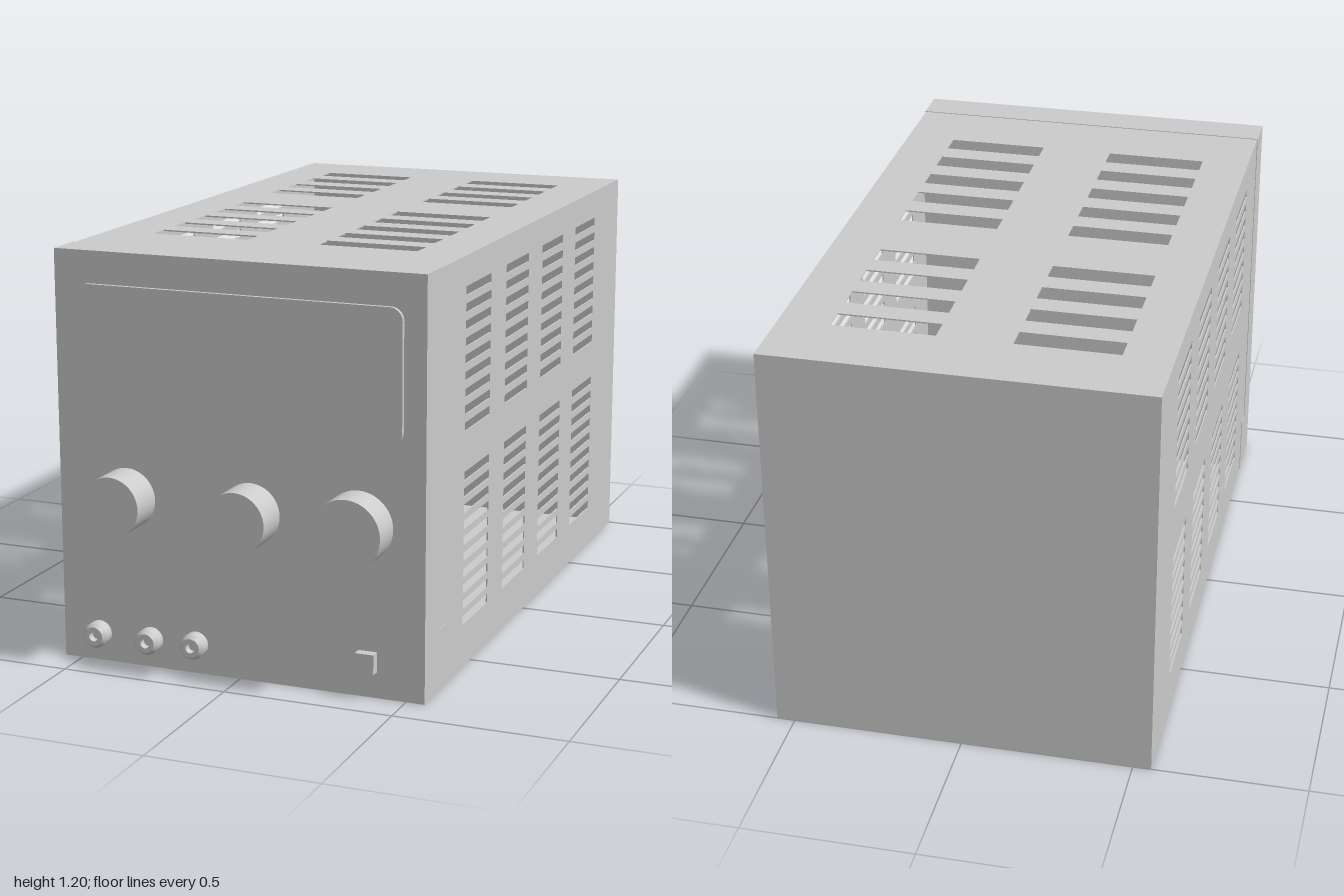
import * as THREE from 'three';

const W = 1.11, H = 1.2, BACK = -1, FRONT = 0.89, T = 0.004;

export function createModel() {
  const group = new THREE.Group();
  const mat = new THREE.MeshStandardMaterial({ color: 0xcccccc, side: THREE.DoubleSide });

  const add = (name, geo, x = 0, y = 0, z = 0) => {
    const m = new THREE.Mesh(geo, mat);
    m.name = name;
    m.position.set(x, y, z);
    group.add(m);
    return m;
  };
  const rect = (cls, x0, y0, x1, y1) => new cls([
    new THREE.Vector2(x0, y0), new THREE.Vector2(x1, y0),
    new THREE.Vector2(x1, y1), new THREE.Vector2(x0, y1)]);
  const extrude = (shape, depth) =>
    new THREE.ExtrudeGeometry(shape, { depth, bevelEnabled: false, curveSegments: 8 });

  // Side covers with louvre slots (drawn in z, y)
  const columns = [[-0.72, -0.5], [-0.362, -0.145], [-0.008, 0.208], [0.348, 0.568]];
  const sidePanel = (lowerRows) => {
    const shape = rect(THREE.Shape, BACK, 0, 0.775, H - 0.002);
    const rows = [];
    for (let i = 0; i < lowerRows; i++) rows.push(0.14 + i * 0.0474);
    for (let i = 0; i < 9; i++) rows.push(0.71 + i * 0.0485);
    for (const [z0, z1] of columns)
      for (const y of rows) shape.holes.push(rect(THREE.Path, z0, y - 0.013, z1, y + 0.013));
    return extrude(shape, T).rotateY(-Math.PI / 2);
  };
  const half = W / 2 - 0.002;
  add('leftSideCover', sidePanel(10), half);
  add('rightSideCover', sidePanel(9), -half + T);

  // Top cover with two columns of vents (drawn in x, z)
  const top = rect(THREE.Shape, -half, BACK, half, 0.775);
  for (let i = 0; i < 10; i++) {
    if (i === 4) continue;
    const z = -0.755 + i * 0.142;
    for (const x of [-0.26, 0.255])
      top.holes.push(rect(THREE.Path, x - 0.15, z - 0.036, x + 0.15, z + 0.036));
  }
  add('topCover', extrude(top, T).rotateX(Math.PI / 2), 0, H - 0.002);

  // Closed floor, back and inner bulkhead
  add('floor', new THREE.BoxGeometry(half * 2, T, 1.75), 0, 0.002 + T / 2, BACK + 0.875);
  add('backPanel', new THREE.BoxGeometry(half * 2, H - 0.002, T), 0, H / 2 - 0.001, BACK + T / 2);
  add('bulkhead', new THREE.BoxGeometry(half * 2 - 2 * T, H - 0.012, T), 0, H / 2, 0.72);

  // Front bezel, deeper at the foot (profile in z, y)
  const bezel = new THREE.Shape([
    [0.72, 0], [FRONT, 0], [FRONT, H], [0.775, H], [0.775, 0.18], [0.72, 0.18],
  ].map(([z, y]) => new THREE.Vector2(z, y)));
  add('frontBezel', extrude(bezel, W).rotateY(-Math.PI / 2), W / 2);

  // Rounded display window
  const dw = 0.487, dh = 0.19, r = 0.037;
  const win = new THREE.Shape();
  win.absarc(dw - r, dh - r, r, 0, Math.PI / 2);
  win.absarc(-dw + r, dh - r, r, Math.PI / 2, Math.PI);
  win.absarc(-dw + r, -dh + r, r, Math.PI, Math.PI * 1.5);
  win.absarc(dw - r, -dh + r, r, Math.PI * 1.5, Math.PI * 2);
  win.closePath();
  add('displayWindow', extrude(win, 0.012), 0.003, 0.917, FRONT);

  // Control knobs
  const knobs = [
    ['currentKnob', -0.343, 0.497, 0.087, 0.11],
    ['fineKnob', 0.038, 0.491, 0.088, 0.11],
    ['coarseKnob', 0.36, 0.49, 0.101, 0.1],
  ];
  for (const [name, x, y, rad, len] of knobs)
    add(name, new THREE.CylinderGeometry(rad, rad, len, 48).rotateX(Math.PI / 2), x, y, FRONT + len / 2);

  // Output terminals with a socket in the middle
  const profile = [[0.037, 0], [0.037, 0.032], [0.037, 0.032], [0.028, 0.043], [0.028, 0.043],
    [0.014, 0.043], [0.014, 0.043], [0.014, 0.02], [0.014, 0.02], [0, 0.02]]
    .map(([x, y]) => new THREE.Vector2(x, y));
  [[-0.441, 0.083], [-0.277, 0.083], [-0.135, 0.087]].forEach(([x, y], i) =>
    add('terminal' + (i + 1), new THREE.LatheGeometry(profile, 32).rotateX(Math.PI / 2), x, y, FRONT));

  // Power button
  add('powerButton', new THREE.BoxGeometry(0.055, 0.058, 0.028), 0.387, 0.105, FRONT + 0.014);

  return group;
}
